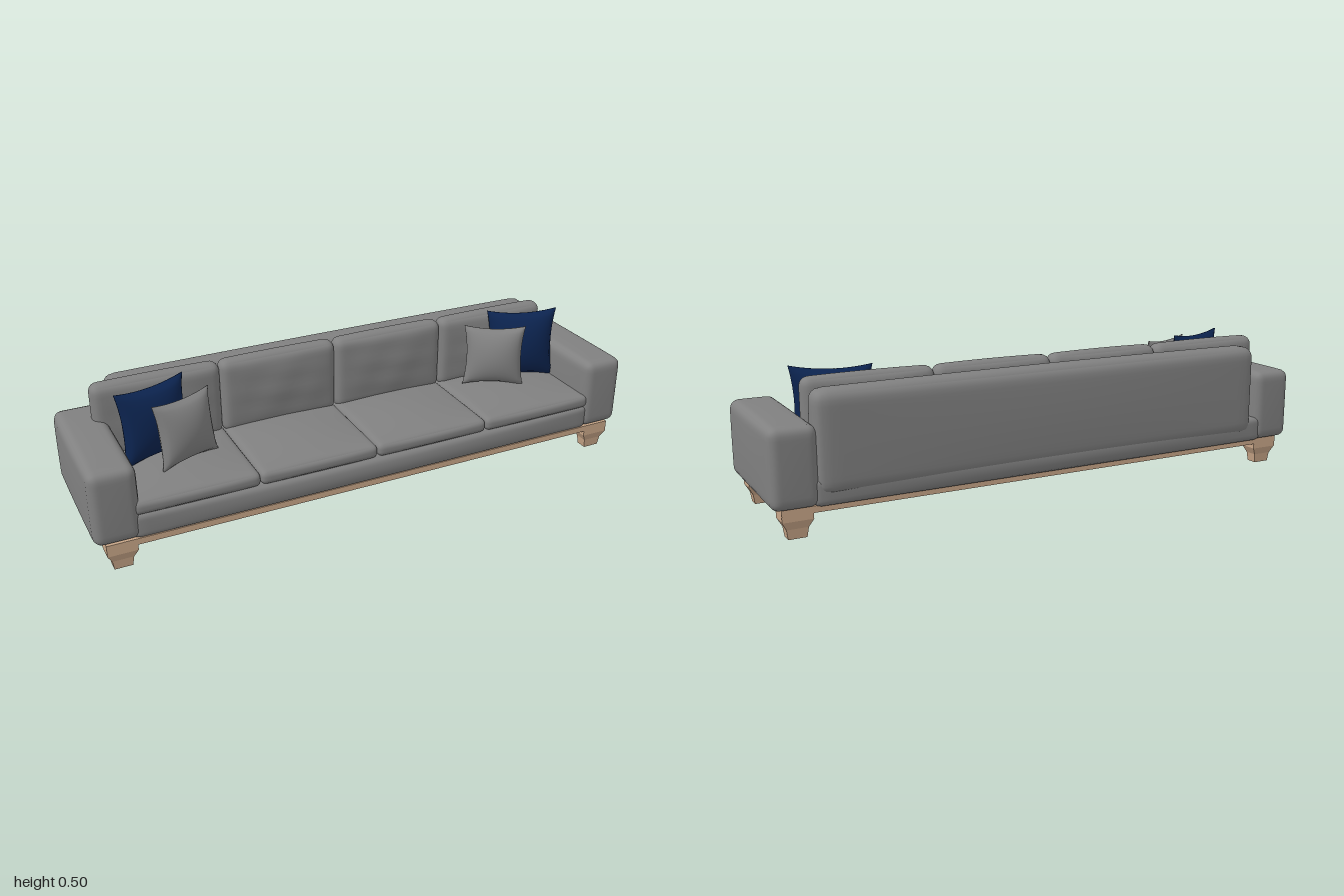
import * as THREE from 'three';
import { mergeVertices } from 'three/addons/utils/BufferGeometryUtils.js';

const fabric = new THREE.MeshStandardMaterial({ color: 0x808080 });
fabric.name = 'grey fabric';
const navy = new THREE.MeshStandardMaterial({ color: 0x0c2450 });
navy.name = 'navy fabric';
const wood = new THREE.MeshStandardMaterial({ color: 0xc8a688 });
wood.name = 'pale wood';

// Weld a moved box so its normals are smooth all over
function smooth(geo) {
  geo.deleteAttribute('uv');
  geo.deleteAttribute('normal');
  const g = mergeVertices(geo, 1e-5);
  g.computeVertexNormals();
  return g;
}

// Upholstered block from min to max corner: rounded edges plus a swell [x, y, z] on its faces
function padded(min, max, r, swell = [0, 0, 0], wrinkle = 0) {
  const lo = new THREE.Vector3(...min), hi = new THREE.Vector3(...max);
  const half = hi.clone().sub(lo).multiplyScalar(0.5);
  const inner = half.clone().subScalar(r);
  const geo = new THREE.BoxGeometry(2, 2, 2, 28, 20, 20);
  const p = geo.attributes.position, v = new THREE.Vector3(), c = new THREE.Vector3();
  // crowd the grid lines towards the edges
  const warp = t => Math.sin(t * Math.PI / 2);
  for (let i = 0; i < p.count; i++) {
    v.fromBufferAttribute(p, i);
    const a = warp(v.x), b = warp(v.y), d = warp(v.z);
    v.set(a * half.x, b * half.y, d * half.z);
    c.copy(v).clamp(inner.clone().negate(), inner);
    v.sub(c).setLength(r).add(c);
    const fx = 1 - a * a, fy = 1 - b * b, fz = 1 - d * d;
    v.x += a * swell[0] * fy * fz;
    v.y += b * swell[1] * fx * fz;
    v.z += d * swell[2] * fx * fy;
    v.z += wrinkle * fx * fy * Math.sin(5 * a + 4 * b + lo.x * 9) * Math.cos(6 * b - 3 * a);
    p.setXYZ(i, v.x, v.y, v.z);
  }
  return smooth(geo).translate((lo.x + hi.x) / 2, (lo.y + hi.y) / 2, (lo.z + hi.z) / 2);
}

// Scatter pillow: lens-shaped with pinched sides and pointed corners
function pillow(size, thick) {
  const geo = new THREE.BoxGeometry(2, 2, 2, 22, 22, 1);
  const p = geo.attributes.position;
  for (let i = 0; i < p.count; i++) {
    const u = p.getX(i), v = p.getY(i), s = Math.sign(p.getZ(i));
    const x = size / 2 * u * (1 - 0.11 * (1 - v * v));
    const y = size / 2 * v * (1 - 0.11 * (1 - u * u));
    const z = s * (0.002 + thick / 2 * Math.pow(Math.max(0, (1 - u * u) * (1 - v * v)), 0.55));
    p.setXYZ(i, x, y, z);
  }
  return smooth(geo);
}

export function createModel() {
  const sofa = new THREE.Group();
  sofa.name = 'sofa';
  const add = (name, geo, mat) => {
    const m = new THREE.Mesh(geo, mat);
    m.name = name;
    sofa.add(m);
    return m;
  };

  // Wooden plinth and the rounded fabric panel beneath it
  add('plinth', new THREE.BoxGeometry(1.92, 0.022, 0.468).translate(0, 0.09, 0.011), wood);
  const outline = [];
  for (let i = 0; i < 48; i++) {
    const a = i / 48 * Math.PI * 2, c = Math.cos(a), s = Math.sin(a);
    outline.push(new THREE.Vector2(
      0.66 * Math.sign(c) * Math.pow(Math.abs(c), 0.5),
      0.015 + 0.165 * Math.sign(s) * Math.pow(Math.abs(s), 0.5)));
  }
  const panel = new THREE.ExtrudeGeometry(new THREE.Shape(outline), { depth: 0.007, bevelEnabled: false });
  add('underPanel', panel.rotateX(Math.PI / 2).translate(0, 0.081, 0), fabric);

  // Four square tapered legs
  const profile = [[0, 0], [0.6, 0], [0.7, 0.033], [1, 0.06], [1, 0.095], [0, 0.095]]
    .map(([r, y]) => new THREE.Vector2(r * Math.SQRT2, y));
  let leg = new THREE.LatheGeometry(profile, 4, Math.PI / 4).scale(0.05, 1, 0.033).toNonIndexed();
  leg.computeVertexNormals();
  for (const x of [-0.91, 0.91]) {
    for (const z of [0.212, -0.188]) {
      add((z > 0 ? 'front' : 'back') + 'Leg', leg, wood).position.set(x, 0, z);
    }
  }

  // Arms
  for (const side of [-1, 1]) {
    const x = side * 0.918;
    add(side > 0 ? 'leftArm' : 'rightArm',
      padded([x - 0.077, 0.1, -0.247], [x + 0.077, 0.358, 0.252], 0.03, [0.005, 0.003, 0.003]), fabric);
  }

  // Seat base and backrest
  add('seatBase', padded([-0.87, 0.098, -0.245], [0.86, 0.188, 0.25], 0.02, [0, 0, 0.013]), fabric);
  add('backrest', padded([-0.82, 0.13, -0.256], [0.852, 0.46, -0.15], 0.04, [0, 0.005, 0.008]), fabric);

  // Four seat cushions
  const seatSeams = [-0.865, -0.44, -0.015, 0.415, 0.858];
  // Four loose back cushions
  const backSeams = [-0.888, -0.445, -0.015, 0.415, 0.857];
  for (let i = 0; i < 4; i++) {
    add('seatCushion', padded([seatSeams[i], 0.183, -0.15], [seatSeams[i + 1], 0.233, 0.252], 0.02,
      [0, 0.017, 0.004]), fabric);
    add('backCushion', padded([backSeams[i], 0.215, -0.155], [backSeams[i + 1], 0.482, -0.085], 0.03,
      [0, 0.003, 0.012], 0.003), fabric);
  }

  // Scatter pillows: name, size, thickness, centre, turn, lean, material
  const pillows = [
    ['rightNavyPillow', 0.26, 0.11, [-0.71, 0.365, -0.01], 0.3, -0.1, navy],
    ['rightGreyPillow', 0.225, 0.1, [-0.628, 0.355, 0.07], 0.35, -0.15, fabric],
    ['leftNavyPillow', 0.265, 0.11, [0.725, 0.365, -0.02], -0.32, -0.1, navy],
    ['leftGreyPillow', 0.225, 0.1, [0.585, 0.355, 0.015], -0.5, -0.15, fabric],
  ];
  for (const [name, size, thick, at, turn, lean, mat] of pillows) {
    const m = add(name, pillow(size, thick), mat);
    m.position.set(...at);
    m.rotation.set(lean, turn, 0, 'YXZ');
  }
  return sofa;
}
